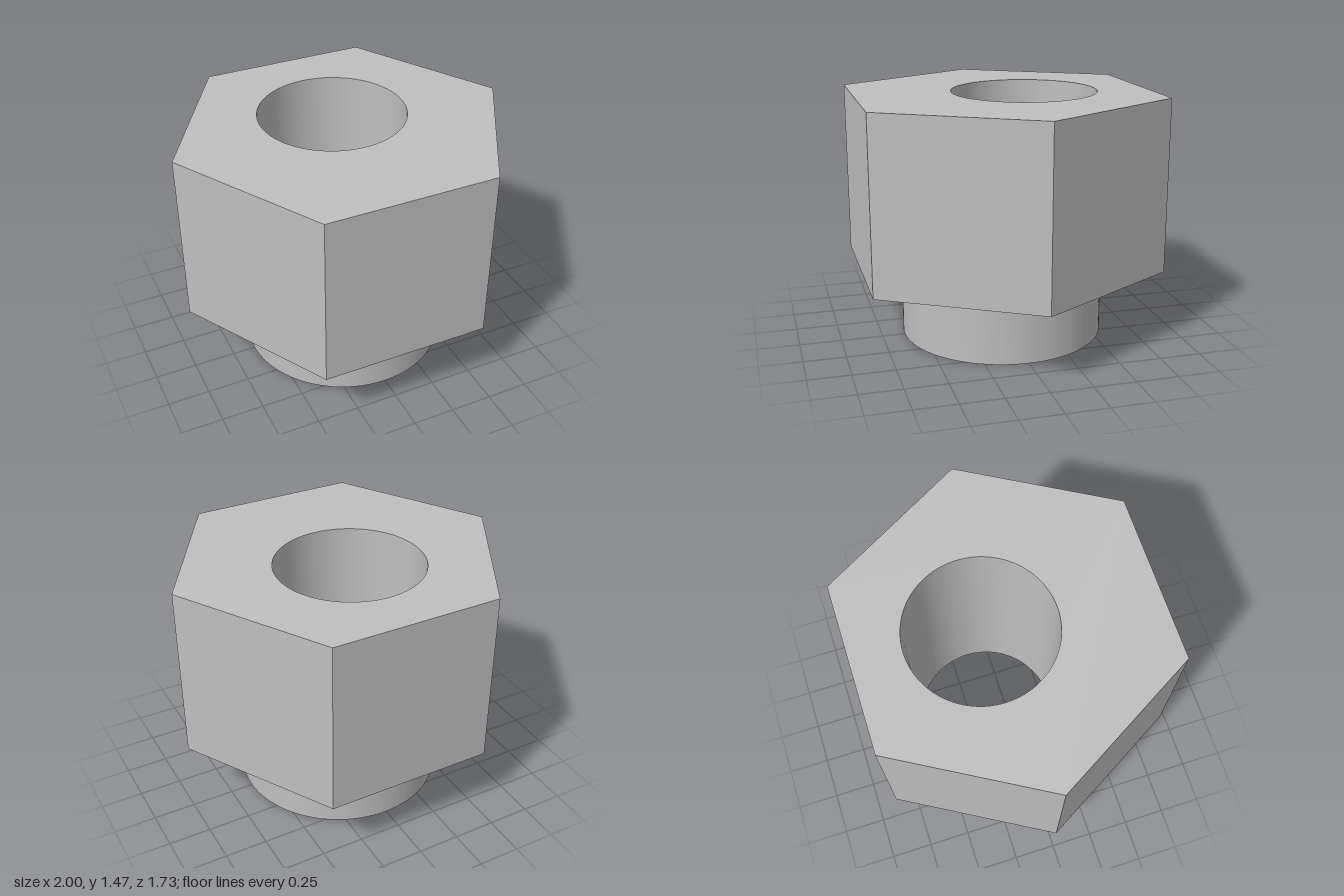
import * as THREE from 'three';
import { toCreasedNormals } from 'three/addons/utils/BufferGeometryUtils.js';

const NECK_TOP = 0.435, TOP = 1.475;
const NECK_RADIUS = 0.613, BORE_RADIUS = 0.435, BORE_Z = -0.14;

// Extrudes an outline upwards from y0 to y1, pierced by the off-centre bore
function boredPrism(name, shape, y0, y1, material) {
  const bore = new THREE.Path();
  bore.absarc(0, -BORE_Z, BORE_RADIUS, 0, Math.PI * 2, true);
  shape.holes.push(bore);
  let geometry = new THREE.ExtrudeGeometry(shape, {
    depth: y1 - y0, bevelEnabled: false, curveSegments: 48,
  });
  geometry.rotateX(-Math.PI / 2);
  geometry.translate(0, y0, 0);
  geometry = toCreasedNormals(geometry, 0.5);
  const mesh = new THREE.Mesh(geometry, material);
  mesh.name = name;
  return mesh;
}

export function createModel() {
  const group = new THREE.Group();
  group.name = 'eccentricHexBushing';
  const steel = new THREE.MeshStandardMaterial({ color: 0xbfbfbf });
  steel.name = 'steel grey';

  // Hexagonal head with corners on the x axis
  const corners = [];
  for (let i = 0; i < 6; i++) {
    const a = (i * Math.PI) / 3;
    corners.push(new THREE.Vector2(Math.cos(a), Math.sin(a)));
  }
  group.add(boredPrism('hexHead', new THREE.Shape(corners), NECK_TOP, TOP, steel));

  // Round neck below the head
  const circle = new THREE.Shape();
  circle.absarc(0, 0, NECK_RADIUS, 0, Math.PI * 2, false);
  group.add(boredPrism('neck', circle, 0, NECK_TOP, steel));

  return group;
}
